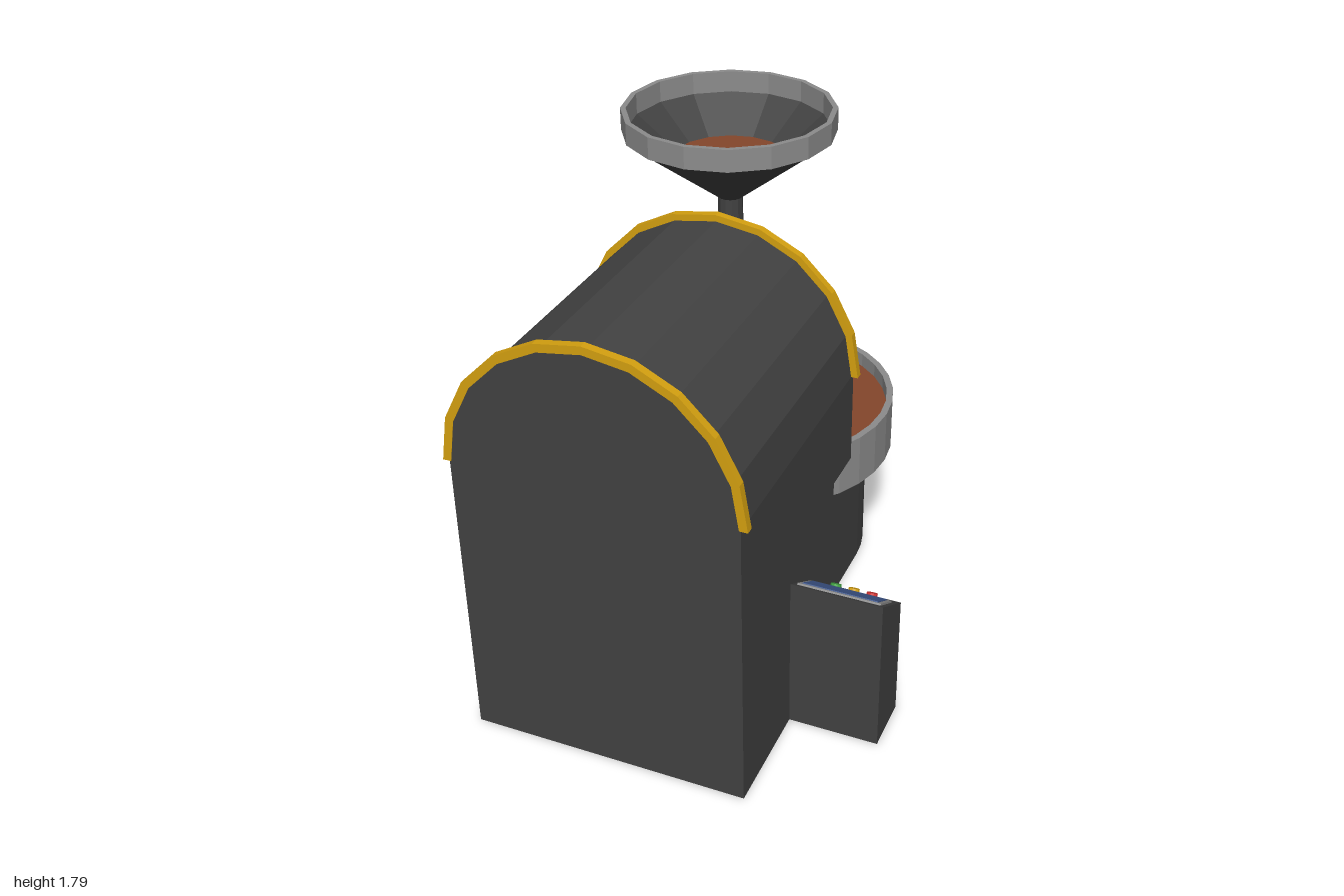
import * as THREE from 'three';

const CX = -0.14; // centre line of the machine
const mat = (color) => new THREE.MeshStandardMaterial({ color, flatShading: true, side: THREE.DoubleSide });
const V = (x, y, z) => new THREE.Vector3(x, y, z);

export function createModel() {
  const model = new THREE.Group();
  const dark = mat(0x424242), steel = mat(0x8c8c8c), gold = mat(0xd4a010), beans = mat(0x84462b);
  const red = mat(0xd03030), green = mat(0x40a040), blue = mat(0x405a90);

  const add = (name, geo, material, x = 0, y = 0, z = 0, parent = model) => {
    const m = new THREE.Mesh(geo, material);
    m.name = name;
    m.position.set(x, y, z);
    parent.add(m);
    return m;
  };
  const box = (w, h, d) => new THREE.BoxGeometry(w, h, d);
  const cyl = (rt, rb, h, n = 12) => new THREE.CylinderGeometry(rt, rb, h, n);
  const lathe = (pts, n) => new THREE.LatheGeometry(pts.map(p => new THREE.Vector2(...p)), n);
  const extrude = (pts, depth) => new THREE.ExtrudeGeometry(
    new THREE.Shape(pts.map(p => new THREE.Vector2(...p))), { depth, bevelEnabled: false });
  // Side profile given as [z, y], extruded across x and centred on x = 0
  const sideExtrude = (pts, width) => extrude(pts.map(([z, y]) => [-z, y]), width)
    .rotateY(Math.PI / 2).translate(-width / 2, 0, 0);
  const rod = (name, a, b, r, material, n = 8) => {
    const d = b.clone().sub(a);
    const m = add(name, cyl(r, r, d.length(), n), material);
    m.position.copy(a).addScaledVector(d, 0.5);
    m.quaternion.setFromUnitVectors(V(0, 1, 0), d.normalize());
    return m;
  };
  const arc = (r, n = 10) => Array.from({ length: n + 1 }, (_, i) =>
    [r * Math.cos(i * Math.PI / n), 1 + r * Math.sin(i * Math.PI / n)]);

  // Arched roaster housing, with the upper part overhanging the cooler
  add('housing', extrude([[0.46, 0], ...arc(0.46), [-0.46, 0]], 0.75), dark, CX, 0, 0.25);
  add('housingOverhang', extrude([[0.46, 0.68], ...arc(0.46), [-0.46, 0.68]], 0.16), dark, CX, 0, 0.09);
  const trim = [...arc(0.482), ...arc(0.455).reverse()];
  for (const [name, z] of [['frontTrim', 0.975], ['backTrim', 0.085]])
    add(name, extrude(trim, 0.026), gold, CX, 0, z);

  // Cooler pedestal: tapered neck, straight sides, round end
  const ped = [[0.46, -0.25], [0.365, -0.175]];
  for (let i = 0; i <= 20; i++) {
    const a = i * Math.PI / 20;
    ped.push([0.365 * Math.cos(a), 0.29 + 0.37 * Math.sin(a)]);
  }
  ped.push([-0.365, -0.175], [-0.46, -0.25]);
  add('coolerPedestal', extrude(ped, 0.44).rotateX(-Math.PI / 2), dark, CX, 0, 0);

  // Cooling tray with beans and stirring arms
  const tray = new THREE.Group();
  tray.name = 'coolingTray';
  tray.position.set(CX, 0, -0.287);
  model.add(tray);
  add('trayWall', lathe([[0, 0.44], [0.458, 0.44], [0.458, 0.63], [0.435, 0.63], [0.435, 0.45]], 32), steel, 0, 0, 0, tray);
  add('trayBeans', cyl(0.436, 0.436, 0.1, 32), beans, 0, 0.53, 0, tray);
  add('stirrerHub', cyl(0.026, 0.026, 0.06, 10), steel, 0, 0.602, 0, tray);
  for (let i = 0; i < 3; i++) {
    const arm = new THREE.Group();
    arm.name = 'stirrerArm';
    arm.rotation.y = i * Math.PI * 2 / 3;
    tray.add(arm);
    add('armBar', box(0.022, 0.02, 0.37), steel, 0, 0.612, -0.185, arm);
    for (const z of [-0.2, -0.34]) add('armPaddle', box(0.014, 0.04, 0.05), steel, 0, 0.585, z, arm);
  }

  // Tray outlet: sloping floor with two cheeks
  const cheek = [[-0.65, 0.44], [-0.745, 0.44], [-0.78, 0.42], [-0.78, 0.345], [-0.66, 0.425]];
  for (const s of [-1, 1]) add('outletCheek', sideExtrude(cheek, 0.012), steel, CX + s * 0.058, 0, 0);
  add('outletFloor', sideExtrude([[-0.66, 0.436], [-0.78, 0.357], [-0.78, 0.345], [-0.66, 0.425]], 0.116), steel, CX, 0, 0);

  // Collecting bucket
  add('bucket', lathe([[0, 0.005], [0.1, 0], [0.146, 0.24], [0.134, 0.24], [0.092, 0.015], [0, 0.015]], 8), steel, CX, 0, -0.855);

  // Hopper: funnel, rim, feed pipe and beans
  const hz = -0.007;
  add('hopperFunnel', lathe([[0.04, 1.5], [0.332, 1.725], [0.318, 1.725], [0.035, 1.51]], 16), dark, CX, 0, hz);
  add('hopperRim', lathe([[0.318, 1.722], [0.335, 1.722], [0.335, 1.793], [0.318, 1.793], [0.318, 1.722]], 16), steel, CX, 0, hz);
  add('feedPipe', cyl(0.04, 0.04, 0.24), dark, CX, 1.39, hz);
  add('hopperBeans', cyl(0.185, 0.17, 0.012, 16), beans, CX, 1.62, hz);

  // Feed chute wedge with a framed sloping lid
  add('feedChute', sideExtrude([[0.095, 1.41], [-0.095, 1.235], [0.095, 1.045]], 0.25), dark, CX, 0, 0);
  const lid = new THREE.Group();
  lid.name = 'chuteFrame';
  lid.position.set(CX, 1.327, -0.01);
  lid.rotation.x = -Math.atan2(0.175, 0.19);
  model.add(lid);
  for (const s of [-1, 1]) {
    add('frameSide', box(0.018, 0.016, 0.25), gold, s * 0.121, 0, 0, lid);
    add('frameEnd', box(0.25, 0.016, 0.018), gold, 0, 0, s * 0.118, lid);
  }

  // Swing handle on the chute
  for (const s of [-1, 1])
    rod('handleSide', V(CX + s * 0.1, 1.275, -0.085), V(CX + s * 0.1, 1.14, -0.22), 0.009, steel);
  rod('handlePivot', V(CX - 0.125, 1.275, -0.085), V(CX + 0.125, 1.275, -0.085), 0.016, steel);
  rod('handleGrip', V(CX - 0.125, 1.14, -0.22), V(CX + 0.125, 1.14, -0.22), 0.014, dark);

  // Discharge scoop, a flaring trough lofted between two arcs
  const pos = [], idx = [], N = 8;
  for (const [z, w, top, low] of [[0.09, 0.13, 0.84, 0.74], [-0.03, 0.18, 0.78, 0.69]])
    for (let i = 0; i <= N; i++) {
      const a = i * Math.PI / N;
      pos.push(-w * Math.cos(a), top - (top - low) * Math.sin(a), z + 0.035 * (1 - Math.sin(a)) * (z < 0 ? 1 : 0));
    }
  for (let i = 0; i < N; i++) idx.push(i, i + 1, i + N + 1, i + 1, i + N + 2, i + N + 1);
  const scoop = new THREE.BufferGeometry();
  scoop.setAttribute('position', new THREE.Float32BufferAttribute(pos, 3));
  scoop.setIndex(idx);
  scoop.computeVertexNormals();
  add('dischargeScoop', scoop, steel, CX, 0, 0);

  // Discharge door knob and lever
  rod('doorShaft', V(CX, 0.855, 0.09), V(CX, 0.855, -0.01), 0.024, gold, 12);
  add('doorKnob', new THREE.SphereGeometry(0.036, 12, 8), gold, CX, 0.845, -0.015);
  rod('doorLever', V(CX, 0.835, -0.02), V(CX, 0.777, -0.09), 0.007, dark);

  // Control cabinet with sloping console
  const px = 0.468;
  add('controlCabinet', sideExtrude([[0.625, 0], [0.625, 0.548], [0.44, 0.43], [0.44, 0]], 0.3), dark, px, 0, 0);
  const panel = new THREE.Group();
  panel.name = 'console';
  panel.position.set(px, 0.489, 0.5325);
  panel.rotation.x = -Math.atan2(0.118, 0.185);
  model.add(panel);
  add('screenFrame', box(0.27, 0.008, 0.13), steel, 0, 0.002, 0.017, panel);
  add('screen', box(0.245, 0.008, 0.108), blue, 0, 0.005, 0.017, panel);
  [green, gold, red].forEach((m, i) =>
    add('button', cyl(0.018, 0.018, 0.014), m, (i - 1) * 0.06, 0.004, -0.088, panel));
  rod('stopSwitchBase', V(px, 0.36, 0.44), V(px, 0.36, 0.4), 0.033, gold, 12).scale.z = 0.6;
  add('stopSwitch', box(0.03, 0.03, 0.025), red, px, 0.345, 0.425);

  return model;
}
